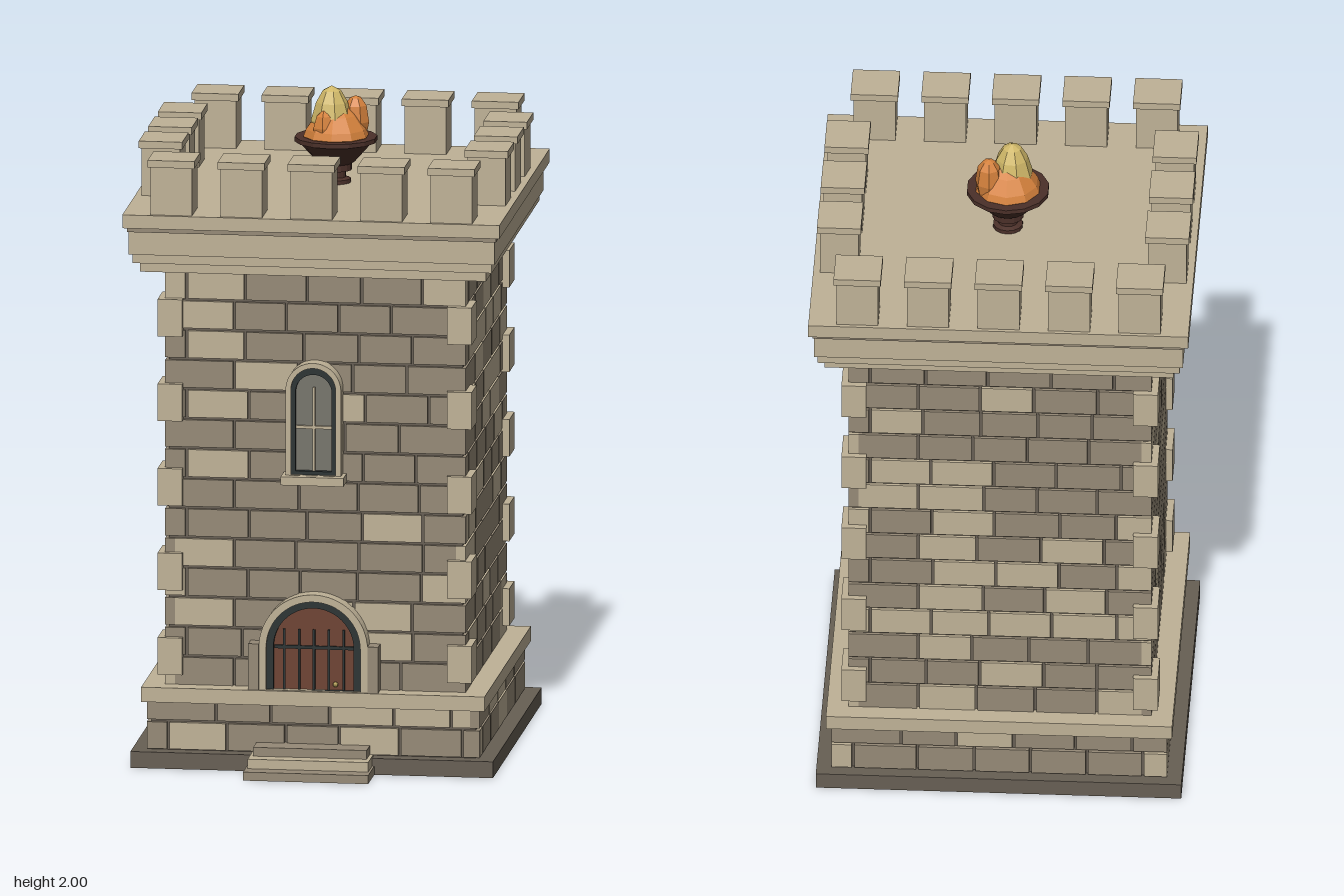
import * as THREE from 'three';
import { mergeGeometries } from 'three/addons/utils/BufferGeometryUtils.js';

const paint = (name, color, extra = {}) => {
  const m = new THREE.MeshStandardMaterial({ color, ...extra });
  m.name = name;
  return m;
};

export function createModel() {
  const lightStone = paint('light stone', 0xbfb297);
  const darkStone = paint('dark stone', 0x968a77);
  const mortar = paint('mortar', 0x675f54);
  const wood = paint('door wood', 0x6e4332);
  const iron = paint('iron', 0x2b3233);
  const glass = paint('glass', 0x77756c);
  const bowlBrown = paint('bowl brown', 0x4b3029, { flatShading: true });
  const orange = paint('flame orange', 0xd4813c, { flatShading: true });
  const yellow = paint('flame yellow', 0xcfb768, { flatShading: true });

  const model = new THREE.Group();
  model.name = 'castleTower';
  const tower = new THREE.Group();
  tower.name = 'tower';
  tower.position.z = -0.058;
  model.add(tower);

  const add = (name, geo, mat, x = 0, y = 0, z = 0, parent = tower) => {
    const mesh = new THREE.Mesh(geo, mat);
    mesh.name = name;
    mesh.position.set(x, y, z);
    parent.add(mesh);
    return mesh;
  };
  // box given by its bottom and top heights
  const slab = (name, mat, w, d, y0, y1, x = 0, z = 0, parent = tower) =>
    add(name, new THREE.BoxGeometry(w, y1 - y0, d), mat, x, (y0 + y1) / 2, z, parent);

  let seed = 11;
  const rand = () => (seed = (seed * 16807) % 2147483647) / 2147483647;

  // Solid cores, plinth, ledge and stepped cornice
  slab('plinth', mortar, 1.1, 1.078, 0, 0.05);
  slab('baseCore', mortar, 0.984, 0.984, 0.05, 0.2);
  slab('wallCore', mortar, 0.892, 0.892, 0.24, 1.52);
  slab('baseLedge', lightStone, 1.042, 1.026, 0.198, 0.243);
  [[0.525, 1.52, 1.55, lightStone], [0.545, 1.55, 1.578, lightStone], [0.555, 1.578, 1.648, lightStone],
    [0.56, 1.648, 1.662, darkStone], [0.572, 1.662, 1.703, lightStone]].forEach(([h, y0, y1, mat], i) =>
    slab('cornice' + (i + 1), mat, h * 2, h * 2 - 0.028, y0, y1));

  // Running-bond brickwork on four sides, merged by tone
  const bricks = { light: [], dark: [] };
  const depth = 0.03, gap = 0.008;
  function course(side, half, y0, y1, row) {
    const end = (side + row) % 2 ? half : half - depth;
    const step = 0.178, cuts = [-end];
    for (let u = -half + (row % 2 ? 0.065 : 0.21); u < end - 0.05; u += step + (rand() - 0.5) * 0.04) cuts.push(u);
    cuts.push(end);
    for (let i = 0; i + 1 < cuts.length; i++) {
      const a = cuts[i] + (i ? gap / 2 : 0);
      const b = cuts[i + 1] - (i + 2 < cuts.length ? gap / 2 : 0);
      const g = new THREE.BoxGeometry(b - a, y1 - y0, depth);
      g.translate((a + b) / 2, (y0 + y1) / 2, half - depth / 2).rotateY(side * Math.PI / 2);
      (rand() < 0.31 ? bricks.light : bricks.dark).push(g);
    }
  }
  for (let side = 0; side < 4; side++) {
    for (let r = 0; r < 14; r++) {
      const y = 0.243 + r * 0.0913;
      course(side, 0.456, y, y + 0.0913 - gap, r);
    }
    course(side, 0.505, 0.054, 0.136, 1);
    course(side, 0.505, 0.144, 0.197, 0);
  }
  add('lightBricks', mergeGeometries(bricks.light), lightStone);
  add('darkBricks', mergeGeometries(bricks.dark), darkStone);

  // Corner stones
  for (let i = 0; i < 5; i++)
    for (const sx of [-1, 1])
      for (const sz of [-1, 1])
        slab('cornerStone', lightStone, 0.075, 0.114, 0.275 + i * 0.26, 0.389 + i * 0.26, sx * 0.439, sz * 0.418);

  // Battlements with overhanging caps
  function merlon(x, z, turned) {
    const [w, d] = turned ? [0.116, 0.126] : [0.126, 0.116];
    slab('merlon', lightStone, w, d, 1.7, 1.85, x, z);
    slab('merlonCap', lightStone, w + 0.016, d + 0.016, 1.85, 1.872, x, z);
  }
  for (const s of [-1, 1]) {
    for (let i = -2; i <= 2; i++) merlon(i * 0.2125, s * 0.488, false);
    for (let i = -1; i <= 1; i++) merlon(s * 0.494, i * 0.2125, true);
  }

  // Arched door and window
  function arch(w, y0, top, Kind = THREE.Shape) {
    const s = new Kind();
    s.moveTo(-w, y0);
    s.lineTo(w, y0);
    s.lineTo(w, top - w);
    s.absarc(0, top - w, w, 0, Math.PI, false);
    s.lineTo(-w, y0);
    return s;
  }
  function archRing(name, mat, outer, inner, y0, z0, z1, parent) {
    const s = arch(outer[0], y0, outer[1]);
    s.holes.push(arch(inner[0], y0 + 0.002, inner[1], THREE.Path));
    add(name, new THREE.ExtrudeGeometry(s, { depth: z1 - z0, bevelEnabled: false, curveSegments: 16 }), mat, 0, 0, z0, parent);
  }
  const panel = (name, mat, w, y0, top, z, parent) =>
    add(name, new THREE.ShapeGeometry(arch(w, y0, top), 16), mat, 0, 0, z, parent);

  const door = new THREE.Group();
  door.name = 'door';
  tower.add(door);
  archRing('doorFrame', lightStone, [0.165, 0.54], [0.143, 0.518], 0.243, 0.45, 0.506, door);
  archRing('doorIronRim', iron, [0.144, 0.519], [0.122, 0.497], 0.243, 0.45, 0.498, door);
  panel('doorPanel', wood, 0.124, 0.243, 0.499, 0.484, door);
  for (let i = -2; i <= 2; i++)
    slab('doorBar', iron, 0.007, 0.006, 0.245, 0.43, i * 0.045, 0.487, door);
  slab('doorCrossBar', iron, 0.24, 0.006, 0.37, 0.38, 0, 0.488, door);
  add('doorKnob', new THREE.SphereGeometry(0.008, 8, 6), yellow, 0.066, 0.264, 0.493, door);
  for (const s of [-1, 1]) slab('doorPost', darkStone, 0.032, 0.06, 0.243, 0.385, s * 0.181, 0.477, door);

  const win = new THREE.Group();
  win.name = 'window';
  tower.add(win);
  archRing('windowFrame', lightStone, [0.084, 1.252], [0.068, 1.236], 0.905, 0.45, 0.506, win);
  archRing('windowIronRim', iron, [0.069, 1.237], [0.055, 1.215], 0.905, 0.45, 0.498, win);
  panel('windowPane', glass, 0.057, 0.915, 1.217, 0.482, win);
  slab('windowBottomRim', iron, 0.136, 0.04, 0.905, 0.918, 0, 0.478, win);
  slab('windowMullion', lightStone, 0.007, 0.008, 0.918, 1.175, 0, 0.486, win);
  slab('windowCrossBar', lightStone, 0.114, 0.008, 1.047, 1.056, 0, 0.486, win);
  slab('windowSill', lightStone, 0.19, 0.085, 0.88, 0.906, 0, 0.488, win);

  // Front steps
  [[0.19, 0.617, 0, 0.026, darkStone], [0.183, 0.566, 0.026, 0.055, lightStone], [0.172, 0.52, 0.055, 0.082, darkStone]]
    .forEach(([h, front, y0, y1, mat], i) =>
      slab('step' + (i + 1), mat, h * 2, front - 0.42, y0, y1, 0, (front + 0.42) / 2, model));

  // Fire bowl and faceted flames
  const turned = (name, mat, pts, sides, x = 0, z = 0) =>
    add(name, new THREE.LatheGeometry(pts.map(p => new THREE.Vector2(...p)), sides), mat, x, 0, z);
  turned('fireBowl', bowlBrown, [[0, 1.7], [0.045, 1.7], [0.045, 1.715], [0.03, 1.72], [0.03, 1.738], [0.048, 1.742],
    [0.048, 1.762], [0.06, 1.77], [0.112, 1.828], [0.125, 1.83], [0.125, 1.844], [0.1, 1.844], [0, 1.835]], 14);
  turned('outerFlame', orange, [[0.08, 1.83], [0.1, 1.846], [0.092, 1.868], [0.062, 1.91], [0.03, 1.94], [0, 1.95]], 10);
  const core = turned('innerFlame', yellow, [[0.062, 1.87], [0.064, 1.895], [0.048, 1.95], [0.028, 1.985], [0, 2]], 8, -0.012, 0.006);
  core.rotation.y = 0.3;
  const lobe = turned('sideFlame', orange, [[0.035, 1.85], [0.042, 1.885], [0.034, 1.935], [0.018, 1.957], [0, 1.964]], 7, 0.056, -0.03);
  lobe.rotation.y = 0.5;
  turned('smallFlame', orange, [[0.03, 1.85], [0.034, 1.88], [0.024, 1.915], [0, 1.935]], 6, -0.03, 0.05);

  return model;
}
